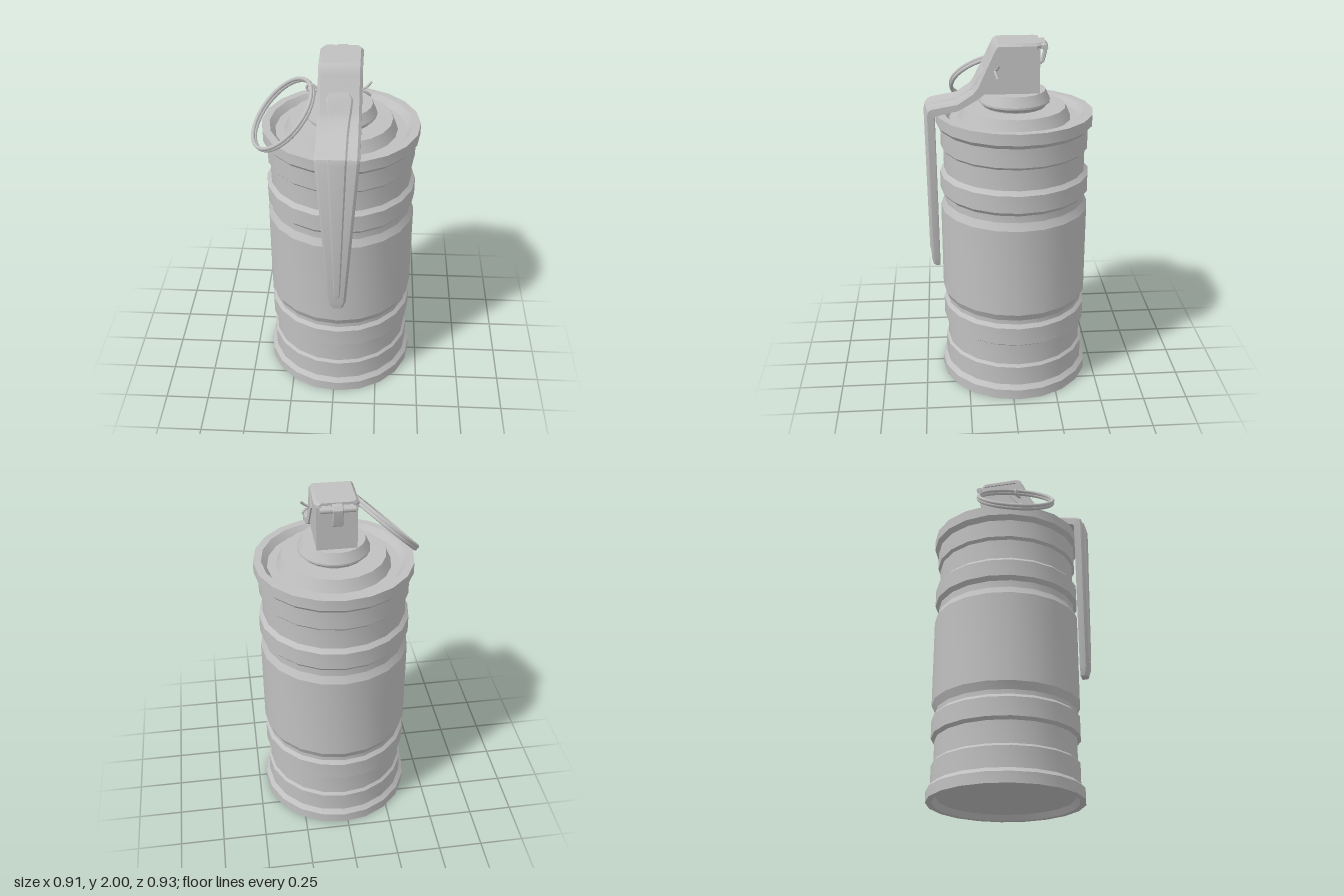
import * as THREE from 'three';
import { toCreasedNormals } from 'three/addons/utils/BufferGeometryUtils.js';

const CX = 0.022; // shared centre line of canister, fuze and lever
const CZ = -0.032;

// Bevelled strip lofted along stations [outerZ, outerY, innerZ, innerY, halfWidth]
function strip(stations, bevel) {
  const pos = [], idx = [], n = 6;
  for (const [oz, oy, iz, iy, hw] of stations) {
    const t = Math.max(0.3, 1 - bevel / Math.hypot(oz - iz, oy - iy));
    const mz = iz + (oz - iz) * t, my = iy + (oy - iy) * t;
    const b = Math.min(bevel, hw * 0.4);
    pos.push(-hw, iy, iz, -hw, my, mz, -hw + b, oy, oz, hw - b, oy, oz, hw, my, mz, hw, iy, iz);
  }
  const last = (stations.length - 1) * n;
  for (let s = 0; s < last; s += n) {
    for (let j = 0; j < n; j++) {
      const a = s + j, b = s + (j + 1) % n;
      idx.push(a, a + n, b, b, a + n, b + n);
    }
  }
  for (let j = 1; j < n - 1; j++) {
    idx.push(0, j, j + 1);
    idx.push(last, last + j + 1, last + j);
  }
  const g = new THREE.BufferGeometry();
  g.setAttribute('position', new THREE.Float32BufferAttribute(pos, 3));
  g.setIndex(idx);
  return toCreasedNormals(g, 0.55);
}

function lathe(profile) {
  const pts = profile.map(([r, y]) => new THREE.Vector2(r, y));
  return toCreasedNormals(new THREE.LatheGeometry(pts, 20), 0.33);
}

export function createModel() {
  const model = new THREE.Group();
  model.name = 'canister';
  const metal = new THREE.MeshStandardMaterial({ color: 0xc0c0c0 });
  metal.name = 'grey metal';
  const add = (name, geometry, x = 0, y = 0, z = 0) => {
    const mesh = new THREE.Mesh(geometry, metal);
    mesh.name = name;
    mesh.position.set(x, y, z);
    model.add(mesh);
    return mesh;
  };

  // Ribbed can with recessed base and lid
  add('body', lathe([
    [0, 0.03], [0.378, 0.03], [0.4, 0], [0.433, 0], [0.433, 0.06], [0.41, 0.085],
    [0.41, 0.2], [0.396, 0.215], [0.396, 0.34], [0.416, 0.355], [0.416, 0.46], [0.398, 0.48],
    [0.398, 0.505], [0.418, 0.548], [0.418, 1.062], [0.398, 1.105], [0.398, 1.145], [0.418, 1.168],
    [0.418, 1.265], [0.396, 1.288], [0.396, 1.405], [0.41, 1.42], [0.41, 1.525], [0.433, 1.55],
    [0.433, 1.612], [0.39, 1.612], [0.36, 1.575], [0.31, 1.575], [0.282, 1.64], [0, 1.64],
  ]), CX, 0, CZ);

  // Flared collar beneath the fuze
  add('neck', lathe([
    [0.17, 1.635], [0.172, 1.645], [0.195, 1.665], [0.195, 1.675], [0.17, 1.73], [0, 1.73],
  ]), CX, 0, CZ);

  // Fuze block
  const side = new THREE.Shape([
    [-0.16, 1.73], [0.14, 1.73], [0.165, 1.765], [0.075, 1.975], [-0.16, 1.975],
  ].map(([z, y]) => new THREE.Vector2(z, y)));
  const block = new THREE.ExtrudeGeometry(side, { depth: 0.214, bevelEnabled: false });
  block.rotateY(-Math.PI / 2);
  add('fuzeBlock', block, CX + 0.107);

  // Safety lever, bent over the block and tapering down the can
  add('lever', strip([
    [-0.165, 2, -0.165, 1.97, 0.095], [-0.14, 2, -0.14, 1.97, 0.115],
    [0.062, 2, 0.055, 1.968, 0.115], [0.082, 1.985, 0.045, 1.945, 0.115],
    [0.1, 1.95, 0.01, 1.885, 0.115], [0.178, 1.78, 0.14, 1.73, 0.115],
    [0.205, 1.745, 0.18, 1.7, 0.115], [0.285, 1.692, 0.275, 1.645, 0.115],
    [0.425, 1.667, 0.4, 1.617, 0.115], [0.447, 1.655, 0.407, 1.608, 0.115],
    [0.456, 1.63, 0.407, 1.59, 0.113], [0.45, 0.735, 0.402, 0.735, 0.05],
    [0.44, 0.685, 0.402, 0.685, 0.033],
  ], 0.014), CX);

  // Pressed rib along the lever
  add('leverRib', strip([
    [0.138, 1.872, 0.125, 1.865, 0.055], [0.159, 1.845, 0.135, 1.835, 0.07],
    [0.189, 1.784, 0.165, 1.77, 0.064], [0.212, 1.754, 0.19, 1.73, 0.058],
    [0.288, 1.702, 0.28, 1.68, 0.052], [0.428, 1.677, 0.42, 1.65, 0.052],
    [0.456, 1.66, 0.435, 1.64, 0.052], [0.464, 1.63, 0.44, 1.62, 0.05],
    [0.458, 0.8, 0.435, 0.8, 0.02], [0.452, 0.765, 0.435, 0.765, 0.016],
  ], 0.01), CX);

  // Hinge bar, its two lugs and the hook curled around it
  const bar = new THREE.CylinderGeometry(0.016, 0.016, 0.184, 12);
  bar.rotateZ(Math.PI / 2);
  add('hingeBar', bar, CX, 1.972, -0.187);
  for (const s of [-1, 1]) {
    add('hingeLug', new THREE.BoxGeometry(0.05, 0.022, 0.05), CX + s * 0.056, 1.975, -0.165);
  }
  add('hingeHook', strip([
    [-0.162, 1.862, -0.158, 1.876, 0.027], [-0.19, 1.88, -0.178, 1.89, 0.027],
    [-0.203, 1.93, -0.188, 1.93, 0.027], [-0.21, 1.975, -0.19, 1.965, 0.027],
    [-0.195, 1.993, -0.185, 1.975, 0.027], [-0.14, 1.995, -0.14, 1.975, 0.027],
  ], 0.004), CX);

  // Split pin through the block: an eye on one end, spread legs on the other
  const pin = new THREE.CatmullRomCurve3([
    [0.185, 1.9, 0.06], [0.145, 1.867, 0.073], [0, 1.867, 0.075], [-0.1, 1.867, 0.075],
    [-0.125, 1.882, 0.072], [-0.15, 1.875, 0.07], [-0.152, 1.855, 0.07], [-0.125, 1.845, 0.076],
    [-0.1, 1.855, 0.08], [0, 1.856, 0.08], [0.14, 1.856, 0.08], [0.18, 1.825, 0.068],
  ].map((p) => new THREE.Vector3(...p)));
  add('splitPin', new THREE.TubeGeometry(pin, 72, 0.007, 8));

  // Double-wound pull ring
  const normal = new THREE.Vector3(-0.664, 0.708, 0.234).normalize();
  for (const s of [-1, 1]) {
    const ring = add('pullRing', new THREE.TorusGeometry(0.217, 0.0105, 10, 48));
    ring.quaternion.setFromUnitVectors(new THREE.Vector3(0, 0, 1), normal);
    ring.position.set(-0.281, 1.72, 0.1).addScaledVector(normal, s * 0.008);
  }

  return model;
}
